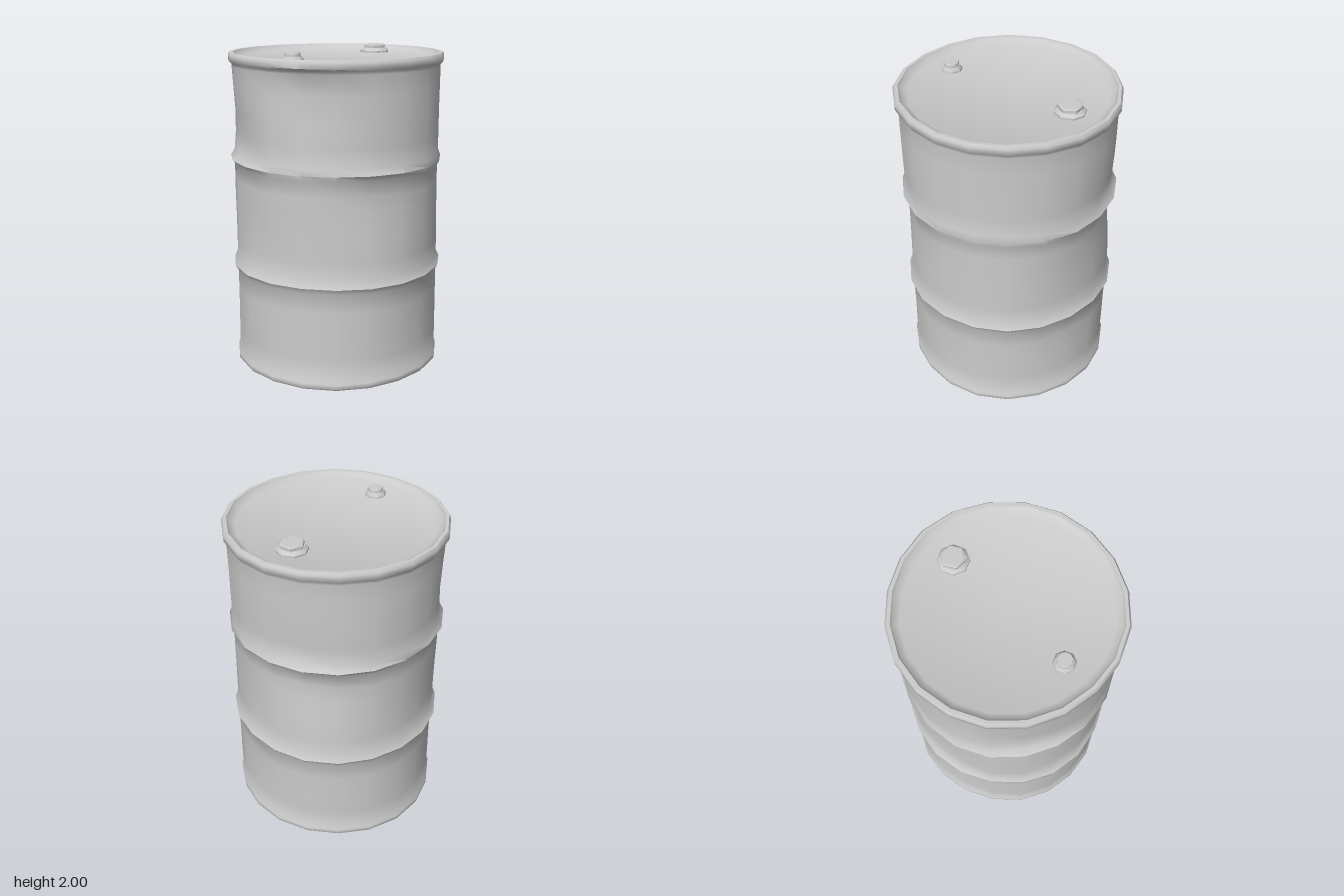
import * as THREE from 'three';
import { mergeVertices, toCreasedNormals } from 'three/addons/utils/BufferGeometryUtils.js';

const SIDES = 20;
const BANDS = [[0.06, 0.655], [0.655, 1.33], [1.33, 1.93]];

// Dents: angle from the front towards +x (degrees), height, half angle, half height, depth
const DENTS = [
  [112, 1.2, 24, 0.26, 0.045], [72, 0.95, 14, 0.25, 0.02], [-33, 1.15, 16, 0.22, 0.03],
  [-120, 1.46, 18, 0.22, 0.045], [-152, 1.6, 14, 0.25, 0.025], [-70, 1.82, 18, 0.25, 0.035],
  [-173, 0.95, 18, 0.28, 0.03], [-105, 0.92, 16, 0.25, 0.025],
  [2, 0.38, 14, 0.22, 0.012], [65, 0.42, 16, 0.22, 0.022], [-173, 0.38, 16, 0.22, 0.022],
];

// How far the wall is pushed in; the hoops and rims stay stiff
function dentDepth(angle, y) {
  const band = BANDS.find(([lo, hi]) => y > lo && y < hi);
  if (!band) return 0;
  const edge = Math.min(y - band[0], band[1] - y);
  const stiff = THREE.MathUtils.smoothstep(edge, 0, 0.06);
  return DENTS.reduce((sum, [a, h, da, dh, depth]) => {
    const d = ((angle - a + 540) % 360) - 180;
    return sum + depth * stiff * Math.exp(-((d / da) ** 2) - ((y - h) / dh) ** 2);
  }, 0);
}

function smooth(geometry, crease) {
  geometry.deleteAttribute('uv');
  geometry.deleteAttribute('normal');
  return toCreasedNormals(mergeVertices(geometry, 1e-4), crease);
}

// Turned shape from [radius, height] pairs, running from the bottom up
function turned(profile, sides) {
  return new THREE.LatheGeometry(profile.map(([r, y]) => new THREE.Vector2(r, y)), sides);
}

function drumGeometry() {
  const geometry = turned([
    [0, 0.003], [0.56, 0.003], [0.615, 0.025], [0.63, 0.01], // base
    [0.652, 0.01], [0.661, 0.022], [0.661, 0.048], [0.652, 0.062], // lower rim
    [0.652, 0.2], [0.65, 0.35], [0.65, 0.5], [0.649, 0.62],
    [0.669, 0.655], [0.65, 0.695], // lower hoop
    [0.649, 0.8], [0.648, 0.95], [0.648, 1.1], [0.648, 1.2], [0.648, 1.295],
    [0.666, 1.33], [0.652, 1.37], // upper hoop
    [0.652, 1.48], [0.651, 1.62], [0.651, 1.78], [0.65, 1.9],
    [0.653, 1.918], [0.668, 1.932], [0.668, 1.965], [0.657, 1.98], // upper rim
    [0.637, 1.98], [0.628, 1.965], [0.59, 1.948], [0, 1.948], // lid
  ], SIDES);
  const p = geometry.attributes.position;
  for (let i = 0; i < p.count; i++) {
    const x = p.getX(i), y = p.getY(i), z = p.getZ(i), r = Math.hypot(x, z);
    if (r < 0.01) continue;
    const a = Math.atan2(x, z);
    // slight unevenness all round, plus the dents
    const wobble = 0.004 * Math.sin(3 * a + y * 2) + 0.003 * Math.sin(5 * a - y * 3);
    const k = (r + wobble - dentDepth(THREE.MathUtils.radToDeg(a), y)) / r;
    p.setX(i, x * k);
    p.setZ(i, z * k);
  }
  return smooth(geometry, 0.9);
}

export function createModel() {
  const group = new THREE.Group();
  const material = new THREE.MeshStandardMaterial({ color: 0xcccccc });

  const add = (name, geometry, x = 0) => {
    const mesh = new THREE.Mesh(geometry, material);
    mesh.name = name;
    mesh.position.x = x;
    group.add(mesh);
  };

  add('drumBody', drumGeometry());

  // Bung: bevelled collar with a raised plug
  const bung = (name, x, collar, plug, sides) => {
    add(name + 'Collar', smooth(turned([
      [collar, 1.945], [collar, 1.96], [collar * 0.8, 1.977], [0, 1.977],
    ], 8), 0.7), x);
    add(name + 'Plug', smooth(turned([
      [plug, 1.97], [plug, 1.994], [plug * 0.9, 2], [0, 2],
    ], sides), 0.7), x);
  };
  bung('largeBung', 0.422, 0.094, 0.074, 6);
  bung('smallBung', -0.43, 0.065, 0.046, 10);

  return group;
}
